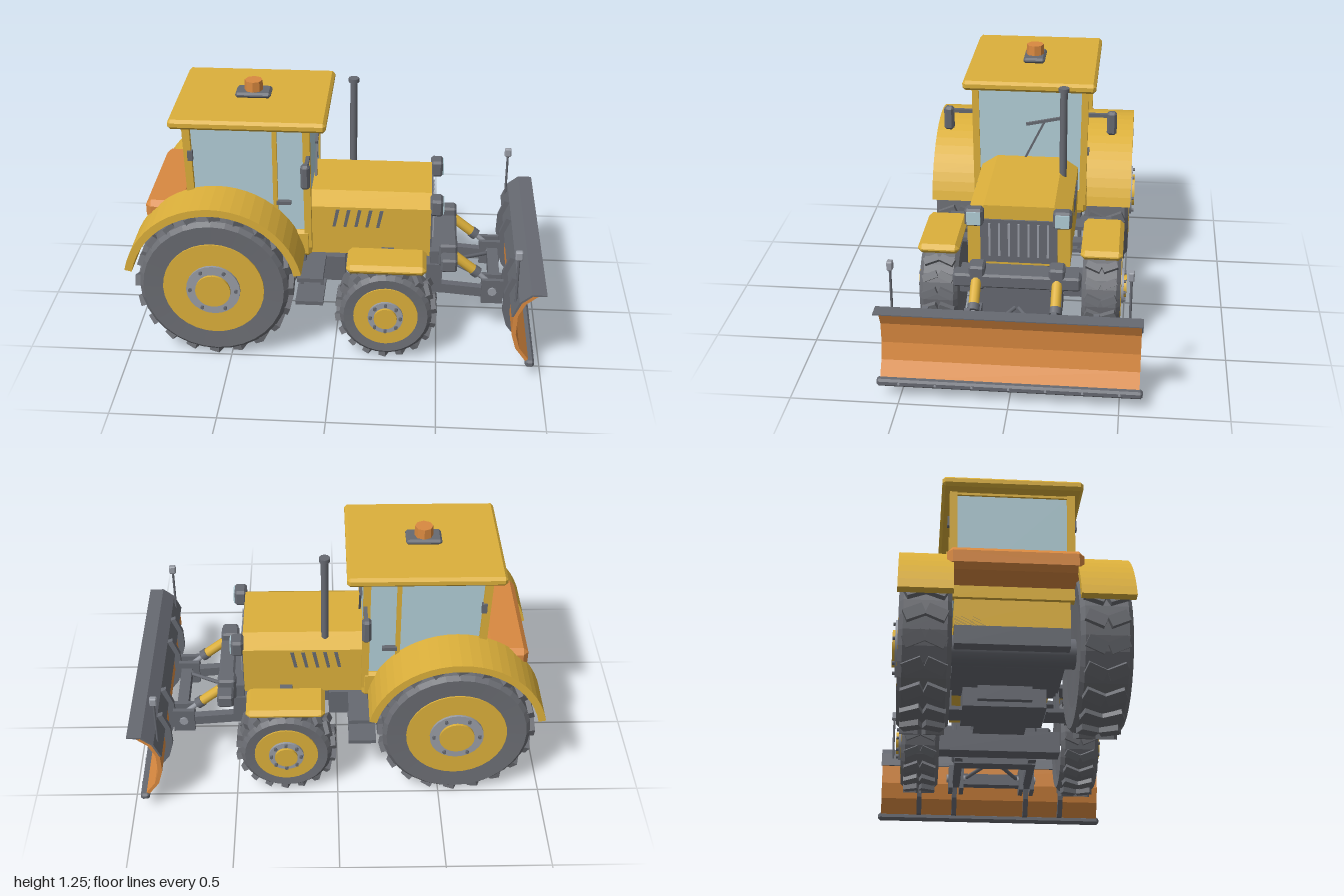
import * as THREE from 'three';
import { mergeGeometries } from 'three/addons/utils/BufferGeometryUtils.js';
import { ConvexGeometry } from 'three/addons/geometries/ConvexGeometry.js';

const paint = (name, color) => Object.assign(new THREE.MeshStandardMaterial({ color }), { name });

export function createModel() {
  const yellow = paint('yellow body', 0xdcb03b), orange = paint('orange blade', 0xd98940);
  const rubber = paint('tyre grey', 0x6b6d73), dark = paint('dark frame', 0x666971);
  const steel = paint('light steel', 0x999da6), glass = paint('window glass', 0xb2ced7);
  const model = new THREE.Group();
  model.name = 'snowPloughTractor';

  // ---- helpers ----
  const flat = (g) => {
    const f = g.index ? g.toNonIndexed() : g;
    f.computeVertexNormals();
    return f;
  };
  const add = (name, geo, mat, parent = model) => {
    const m = new THREE.Mesh(geo, mat);
    m.name = name;
    parent.add(m);
    return m;
  };
  const sides = [1, -1];
  // box with single-facet chamfers on all edges
  const chamferBox = (size, r) => {
    const pts = [], h = size.map((v) => v / 2);
    for (const a of sides) for (const b of sides) for (const c of sides) for (let k = 0; k < 3; k++) {
      pts.push(new THREE.Vector3(...[a, b, c].map((s, i) => s * (i === k ? h[i] : h[i] - r))));
    }
    return new ConvexGeometry(pts);
  };
  // box from its limits, with an optional chamfer
  const box = (name, mat, [x0, x1], [y0, y1], [z0, z1], r = 0) => {
    const s = [x1 - x0, y1 - y0, z1 - z0];
    const g = r ? chamferBox(s, r) : new THREE.BoxGeometry(...s);
    return add(name, g.translate((x0 + x1) / 2, (y0 + y1) / 2, (z0 + z1) / 2), mat);
  };
  // square or round bar between two points
  const bar = (name, mat, a, b, w, d = w, n = 0) => {
    const p = new THREE.Vector3(...a), q = new THREE.Vector3(...b), len = p.distanceTo(q);
    const g = n ? new THREE.CylinderGeometry(w / 2, w / 2, len, n) : new THREE.BoxGeometry(w, len, d);
    const m = add(name, g, mat);
    m.position.copy(p).add(q).multiplyScalar(0.5);
    m.quaternion.setFromUnitVectors(new THREE.Vector3(0, 1, 0), q.sub(p).normalize());
    return m;
  };
  const disc = (r, z0, z1, n = 24) =>
    new THREE.CylinderGeometry(r, r, z1 - z0, n).rotateX(Math.PI / 2).translate(0, 0, (z0 + z1) / 2);
  const extrude = (shape, depth) => new THREE.ExtrudeGeometry(shape, { depth, bevelEnabled: false, curveSegments: 12 });
  const prism = (pts, depth) => extrude(new THREE.Shape(pts.map((p) => new THREE.Vector2(...p))), depth);

  // ---- wheels ----
  function wheel(name, x, y, z, side, R, w, rim, hub, lugs, bolts) {
    const g = new THREE.Group();
    g.name = name;
    g.position.set(x, y, side * z);
    if (side < 0) g.rotation.y = Math.PI;
    const h = w / 2, b = R - 0.023;
    const profile = [[0.02, -h + 0.02], [rim, -h + 0.01], [b - 0.02, -h], [b, -h + 0.02], [b, h - 0.02],
      [b - 0.02, h], [rim, h - 0.005], [rim, h - 0.03]].map((p) => new THREE.Vector2(...p));
    add('tyre', flat(new THREE.LatheGeometry(profile, 32).rotateX(Math.PI / 2)), rubber, g);
    const treads = [];
    for (let i = 0; i < lugs; i++) for (const s of sides) {
      treads.push(new THREE.BoxGeometry(R * 0.14, 0.04, h * 0.78).rotateY(s * 0.4)
        .translate(0, R - 0.02, s * h * 0.42).rotateZ((i / lugs) * Math.PI * 2));
    }
    add('treadLugs', mergeGeometries(treads), rubber, g);
    add('rim', disc(rim, -h + 0.04, h + 0.002, 32), yellow, g);
    add('hubRing', disc(hub, h, h + 0.014), steel, g);
    add('hubCap', disc(hub * 0.65, h, h + 0.027), yellow, g);
    for (let i = 0; i < bolts; i++) {
      const a = (i / bolts) * Math.PI * 2;
      add('wheelBolt', disc(0.009, h, h + 0.025, 6).translate(Math.cos(a) * hub * 0.85, Math.sin(a) * hub * 0.85, 0), dark, g);
    }
    model.add(g);
  }

  for (const s of sides) {
    const zr = (a, b) => (s > 0 ? [a, b] : [-b, -a]);
    wheel('rearWheel', -0.572, 0.383, 0.39, s, 0.381, 0.23, 0.243, 0.13, 20, 6);
    wheel('frontWheel', 0.251, 0.247, 0.392, s, 0.245, 0.185, 0.155, 0.085, 18, 8);

    // rear mudguard arch and the body panel behind it
    const arch = new THREE.Shape();
    arch.absarc(0, 0, 0.432, 0.22, 2.93, false);
    arch.absarc(0, 0, 0.396, 2.93, 0.22, true);
    add('rearFender', flat(extrude(arch, 0.24)), yellow).position.set(-0.572, 0.385, s > 0 ? 0.273 : -0.513);
    const panel = new THREE.Shape();
    panel.absarc(0, 0, 0.41, 0.45, 1.92, false);
    add('fenderPanel', extrude(panel, 0.012), yellow).position.set(-0.572, 0.385, s > 0 ? 0.264 : -0.276);
    box('frontFender', yellow, [0.06, 0.44], [0.475, 0.522], zr(0.29, 0.49), 0.02);
    box('fenderBracket', dark, [0.22, 0.28], [0.47, 0.49], zr(0.2, 0.32));

    // cab side: pillars, sill, door fittings
    bar('frontPillar', yellow, [-0.135, 0.5, s * 0.268], [-0.14, 1.14, s * 0.274], 0.034);
    bar('rearPillar', yellow, [-0.69, 0.6, s * 0.268], [-0.705, 1.14, s * 0.274], 0.036);
    bar('doorPillar', yellow, [-0.29, 0.55, s * 0.27], [-0.29, 1.14, s * 0.272], 0.022);
    box('cabSill', yellow, [-0.21, -0.12], [0.45, 0.59], zr(0.2, 0.288), 0.015);
    box('doorHandle', dark, [-0.285, -0.215], [0.735, 0.752], zr(0.27, 0.293));
    box('hinge', dark, [-0.7, -0.675], [0.96, 1.01], zr(0.28, 0.3));
    // mirror
    box('mirrorArm', dark, [-0.14, -0.122], [0.982, 1.0], zr(0.27, 0.4));
    box('mirror', dark, [-0.155, -0.112], [0.89, 1.012], zr(0.383, 0.432), 0.012);
    // steps
    box('upperStep', dark, [-0.18, -0.055], [0.385, 0.405], zr(0.2, 0.42));
    box('lowerStep', dark, [-0.19, -0.055], [0.255, 0.275], zr(0.2, 0.42));
    for (const x of [-0.17, -0.07]) box('stepHanger', dark, [x - 0.008, x + 0.008], [0.26, 0.4], zr(0.25, 0.266));

    // hood vents
    for (let i = 0; i < 5; i++) {
      const x = -0.02 + i * 0.053;
      const vent = prism([[x, 0.6], [x + 0.015, 0.6], [x + 0.034, 0.692], [x + 0.017, 0.692]], 0.006);
      add('hoodVent', vent.translate(0, 0, s > 0 ? 0.241 : -0.247), dark);
    }
    // headlight
    box('headlight', dark, [0.45, 0.512], [0.67, 0.757], zr(0.163, 0.25), 0.012);
    box('headlightLens', glass, [0.508, 0.517], [0.682, 0.746], zr(0.174, 0.239));

    // plough linkage
    box('mountBracket', dark, [0.5, 0.59], [0.38, 0.5], zr(0.15, 0.225), 0.01);
    bar('liftCylinder', yellow, [0.565, 0.435, s * 0.19], [0.69, 0.335, s * 0.19], 0.05, 0, 10);
    bar('cylinderCollar', dark, [0.672, 0.349, s * 0.19], [0.698, 0.329, s * 0.19], 0.058, 0, 10);
    bar('liftRod', steel, [0.68, 0.343, s * 0.19], [0.765, 0.27, s * 0.19], 0.026, 0, 8);
    bar('lowerArm', dark, [0.4, 0.255, s * 0.19], [0.77, 0.225, s * 0.19], 0.05, 0.04);
    box('bladeBracket', dark, [0.717, 0.823], [0.18, 0.31], zr(0.15, 0.172));
    box('bladeBracket', dark, [0.717, 0.823], [0.18, 0.31], zr(0.208, 0.23));
    add('bracketPin', disc(0.022, -0.05, 0.05, 8), steel).position.set(0.77, 0.25, s * 0.19);
    bar('braceRod', dark, [0.57, 0.28, s * 0.01], [0.78, 0.25, s * 0.15], 0.02, 0, 8);

    // blade markers
    bar('markerRod', dark, [0.862, 0.39, s * 0.535], [0.862, 0.63, s * 0.535], 0.012, 0, 8);
    box('markerReflector', steel, [0.845, 0.88], [0.62, 0.665], zr(0.521, 0.548), 0.005);
  }

  // ---- cab ----
  const cab = prism([[-0.69, 0.6], [-0.125, 0.52], [-0.13, 1.135], [-0.705, 1.135]], 0.53);
  add('cabGlass', cab.translate(0, 0, -0.265), glass);
  box('roof', yellow, [-0.782, -0.045], [1.13, 1.178], [-0.328, 0.328], 0.014);
  box('cabFloor', yellow, [-0.7, -0.13], [0.45, 0.6], [-0.262, 0.262]);
  box('rearSill', yellow, [-0.72, -0.68], [0.58, 0.74], [-0.28, 0.28]);
  box('frontHeader', yellow, [-0.145, -0.118], [1.118, 1.14], [-0.27, 0.27]);
  box('rearHeader', yellow, [-0.715, -0.69], [1.118, 1.14], [-0.27, 0.27]);
  box('rearTank', orange, [-0.92, -0.72], [0.625, 0.733], [-0.303, 0.303], 0.025);
  bar('wiperArm', dark, [-0.117, 0.74, 0.03], [-0.117, 0.95, -0.072], 0.01);
  bar('wiperBlade', dark, [-0.115, 0.937, 0.018], [-0.115, 0.976, -0.162], 0.014);
  box('beaconBase', dark, [-0.5, -0.33], [1.178, 1.205], [-0.054, 0.054], 0.01);
  add('beacon', flat(new THREE.CylinderGeometry(0.043, 0.045, 0.05, 8)), orange).position.set(-0.415, 1.23, 0);

  // ---- hood with chamfered shoulders ----
  const hood = prism([[-0.243, 0.45], [0.243, 0.45], [0.243, 0.705], [0.165, 0.757], [-0.165, 0.757], [-0.243, 0.705]], 0.595);
  add('hood', hood.rotateY(Math.PI / 2).translate(-0.14, 0, 0), yellow);
  box('grille', dark, [0.44, 0.464], [0.465, 0.687], [-0.182, 0.182]);
  for (let i = -3; i <= 3; i++) box('grilleBar', steel, [0.46, 0.472], [0.5, 0.67], [i * 0.046 - 0.005, i * 0.046 + 0.005]);
  bar('exhaustPipe', dark, [0.057, 0.72, -0.179], [0.057, 1.19, -0.179], 0.036, 0, 12);
  bar('exhaustCap', dark, [0.057, 1.18, -0.179], [0.057, 1.2, -0.179], 0.052, 0, 12);

  // ---- chassis ----
  box('rearHousing', dark, [-0.7, -0.15], [0.36, 0.5], [-0.26, 0.26]);
  box('chassisBeam', dark, [-0.25, 0.5], [0.29, 0.405], [-0.13, 0.13]);
  box('bellyTank', dark, [-0.22, 0.04], [0.265, 0.4], [-0.2, 0.2]);
  bar('rearAxle', dark, [-0.572, 0.383, -0.36], [-0.572, 0.383, 0.36], 0.14, 0, 12);
  box('frontAxle', dark, [0.2, 0.3], [0.2, 0.31], [-0.31, 0.31]);
  box('ploughMount', dark, [0.46, 0.56], [0.36, 0.45], [-0.2, 0.2]);
  box('mountCrossbar', dark, [0.51, 0.59], [0.39, 0.46], [-0.3, 0.3], 0.01);
  box('lowerMount', dark, [0.44, 0.52], [0.22, 0.38], [-0.21, 0.21]);
  box('bladeCrossbar', dark, [0.755, 0.81], [0.215, 0.275], [-0.23, 0.23]);

  // ---- plough blade: curved strips, orange in front and grey behind ----
  const curve = [[0.96, 0.457], [0.905, 0.412], [0.872, 0.345], [0.868, 0.245], [0.89, 0.165], [0.945, 0.09]];
  const shifted = (d, from, to) => curve.slice(from, to).map(([x, y]) => [x - d, y + (y > 0.4 ? d * 0.4 : 0)]);
  const strip = (d0, d1, from = 0, to = 6) => [...shifted(d0, from, to), ...shifted(d1, from, to).reverse()];
  const across = (pts, z0, z1) => flat(prism(pts, z1 - z0).translate(0, 0, z0));
  add('bladeFace', across(strip(0, 0.02), -0.59, 0.59), orange);
  add('bladeUpperBack', across(strip(0.02, 0.03, 0, 3), -0.596, 0.596), dark);
  add('snowDeflector', across([[0.94, 0.46], [1, 0.463], [1, 0.468], [0.93, 0.469]], -0.596, 0.596), dark);
  box('cuttingEdge', dark, [0.922, 0.965], [0.065, 0.102], [-0.605, 0.605], 0.01);
  for (let i = 0; i < 7; i++) {
    const bolt = new THREE.CylinderGeometry(0.006, 0.006, 0.006, 6).rotateZ(Math.PI / 2);
    add('edgeBolt', bolt, steel).position.set(0.966, 0.086, -0.501 + i * 0.167);
  }
  for (const z of [-0.385, -0.195, 0.195, 0.385]) add('bladeRib', across(strip(0.015, 0.055, 1), z - 0.013, z + 0.013), dark);

  return model;
}
